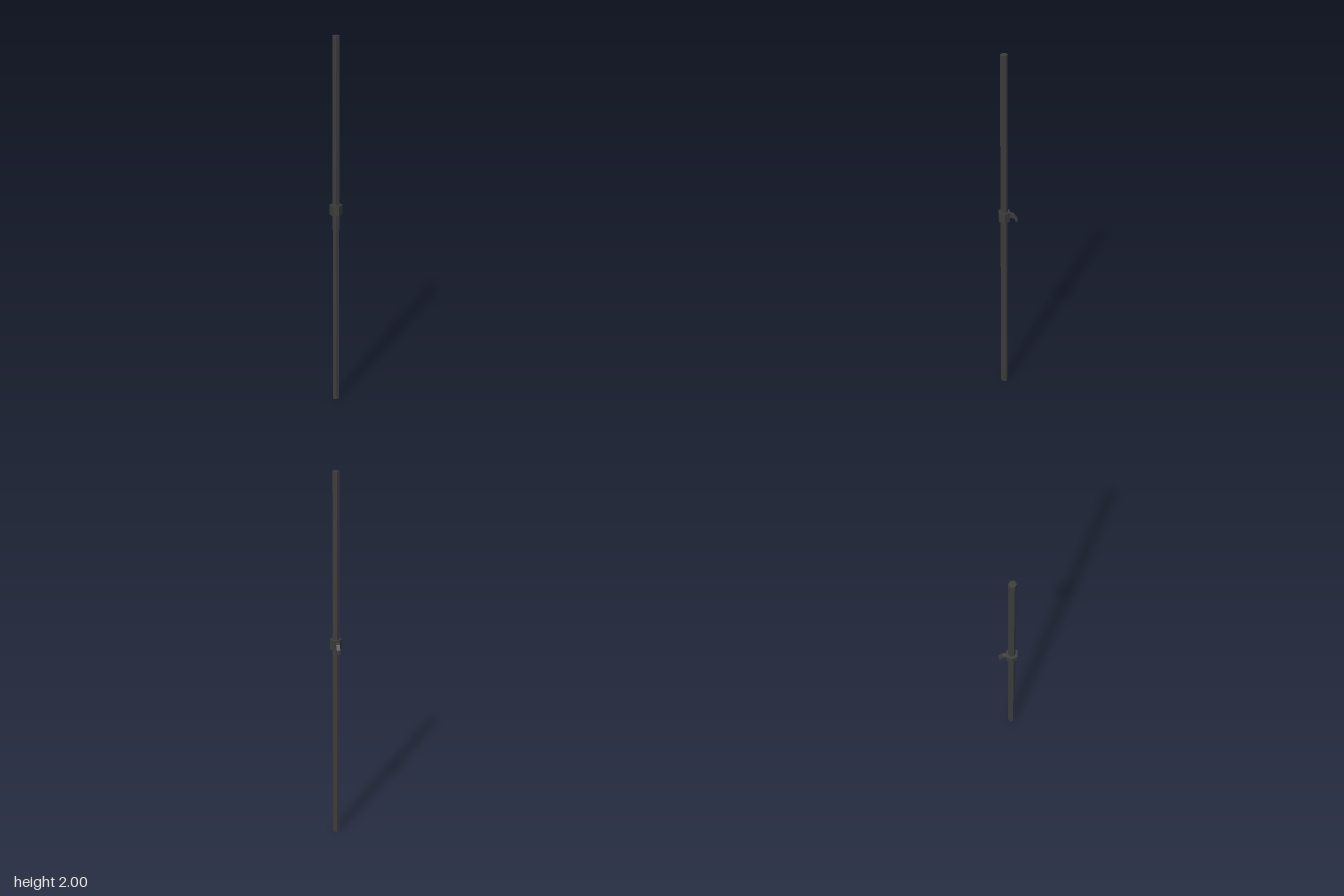
import * as THREE from 'three';

const AXIS_Z = 0.02; // the pole stands slightly forward, balancing the hook

export function createModel() {
  const group = new THREE.Group();
  const darkMetal = new THREE.MeshStandardMaterial({ color: 0x3c3c3c, flatShading: true });
  darkMetal.name = 'dark metal';

  const add = (name, geometry, y, z) => {
    const mesh = new THREE.Mesh(geometry, darkMetal);
    mesh.name = name;
    mesh.position.set(0, y, z);
    group.add(mesh);
  };

  // Six-sided pole, corners to front and back
  add('pole', new THREE.CylinderGeometry(0.0195, 0.0195, 2, 6), 1, AXIS_Z);

  // Six-sided collar, flats to front and back
  const collar = new THREE.CylinderGeometry(0.0328, 0.0328, 0.054, 6);
  collar.rotateY(Math.PI / 6);
  add('collar', collar, 1.094, AXIS_Z);

  // Down-curved hook: side profile as (distance backwards, height)
  const profile = [
    [0, 1.082], [0.02, 1.085], [0.033, 1.075], [0.038, 1.058],
    [0.0485, 1.056], [0.0475, 1.08], [0.029, 1.105], [0, 1.11],
  ].map(([back, y]) => new THREE.Vector2(back, y));
  const width = 0.019;
  const hook = new THREE.ExtrudeGeometry(new THREE.Shape(profile), { depth: width, bevelEnabled: false });
  hook.translate(0, 0, -width / 2);
  hook.rotateY(Math.PI / 2);
  add('hook', hook, 0, 0);

  return group;
}
